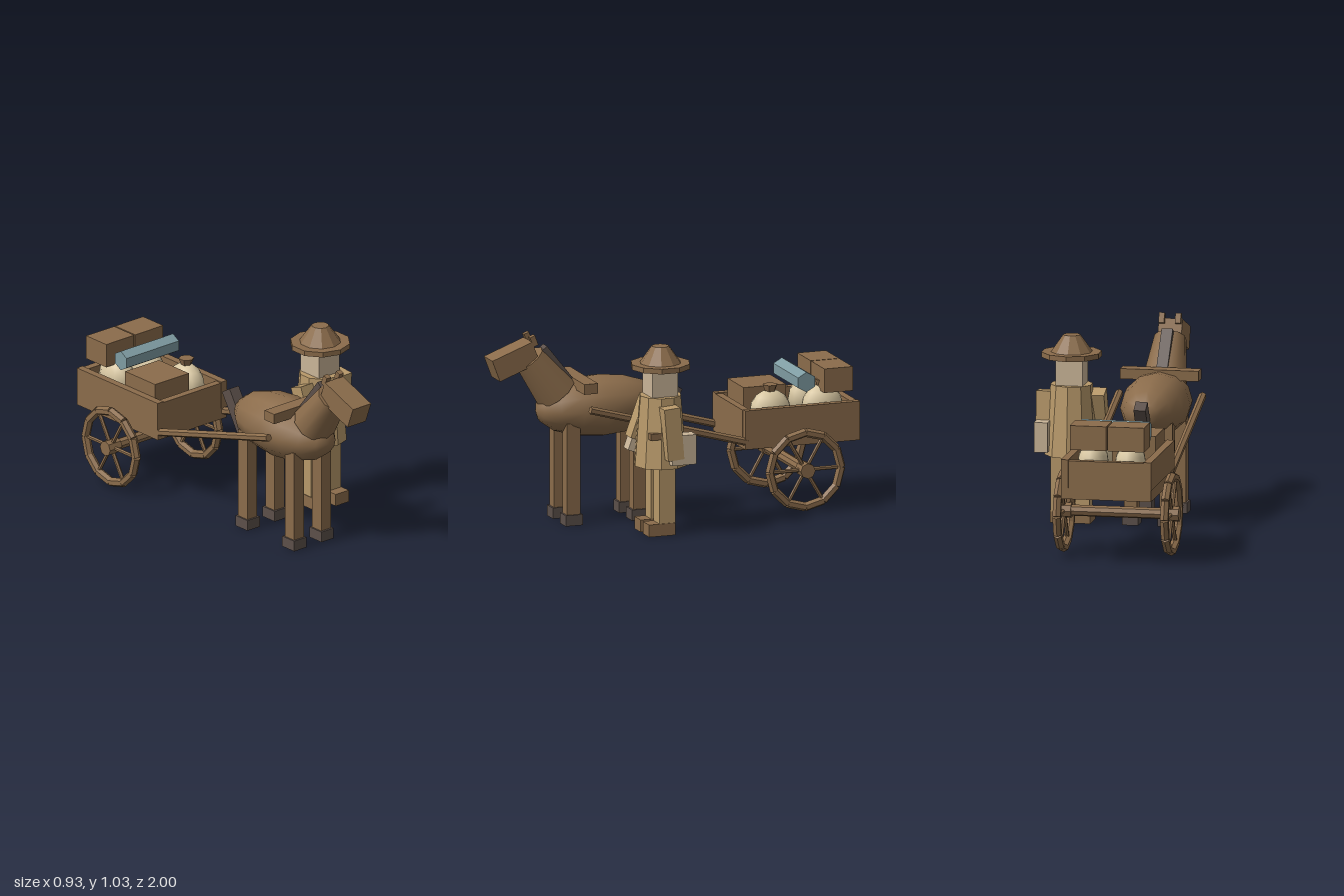
import * as THREE from 'three';

const mat = (name, color, flatShading = true) => {
  const m = new THREE.MeshStandardMaterial({ color, flatShading });
  m.name = name;
  return m;
};

export function createModel() {
  const root = new THREE.Group();
  root.name = 'horseCartAndFarmer';
  const wood = mat('brown', 0x8b6c4b);
  const hide = mat('hideBrown', 0x8b6c4b, false);
  const dark = mat('darkHair', 0x5c504a);
  const cloth = mat('tanCloth', 0xb8996a);
  const skin = mat('skin', 0xcab598);
  const burlap = mat('burlap', 0xd8c7a2, false);
  const blue = mat('blueRoll', 0x7f9ca2);

  const add = (parent, name, geo, material, pos, rot = [0, 0, 0]) => {
    const mesh = new THREE.Mesh(geo, material);
    mesh.name = name;
    mesh.position.set(...pos);
    mesh.rotation.set(...rot);
    parent.add(mesh);
    return mesh;
  };
  const box = (parent, name, material, size, pos, rx = 0) =>
    add(parent, name, new THREE.BoxGeometry(...size), material, pos, [rx, 0, 0]);
  // Box given by its min and max corners
  const span = (parent, name, material, a, b) =>
    box(parent, name, material, b.map((v, i) => v - a[i]), b.map((v, i) => (v + a[i]) / 2));
  const cyl = (parent, name, material, rTop, rBottom, h, sides, pos, rot) =>
    add(parent, name, new THREE.CylinderGeometry(rTop, rBottom, h, sides), material, pos, rot);
  const group = (name, x = 0, y = 0, z = 0) => {
    const g = new THREE.Group();
    g.name = name;
    g.position.set(x, y, z);
    root.add(g);
    return g;
  };
  const CX = -0.135; // centre line of horse and cart

  // Horse
  const horse = group('horse', CX);
  const bodyGeo = new THREE.SphereGeometry(1, 12, 8);
  bodyGeo.rotateX(Math.PI / 2).scale(0.182, 0.166, 0.352);
  add(horse, 'body', bodyGeo, hide, [0, 0.607, 0.383]);
  cyl(horse, 'neck', hide, 0.085, 0.117, 0.25, 10, [0, 0.793, 0.694], [0.65, 0, 0]);
  box(horse, 'mane', dark, [0.06, 0.28, 0.07], [0, 0.824, 0.62], 0.67);
  box(horse, 'head', wood, [0.127, 0.122, 0.24], [0, 0.893, 0.866], 0.36);
  box(horse, 'tail', dark, [0.064, 0.285, 0.07], [0, 0.557, 0.023], -0.55);
  box(horse, 'yoke', wood, [0.42, 0.055, 0.078], [0, 0.748, 0.5]);
  for (const s of [-1, 1]) {
    box(horse, 'ear', wood, [0.03, 0.055, 0.03], [s * 0.044, 0.995, 0.763], 0.36);
    for (const z of [0.195, 0.568]) {
      span(horse, 'leg', wood, [s * 0.095 - 0.034, 0.05, z - 0.037], [s * 0.095 + 0.034, 0.55, z + 0.037]);
      span(horse, 'hoof', dark, [s * 0.095 - 0.043, 0, z - 0.048], [s * 0.095 + 0.043, 0.058, z + 0.048]);
    }
  }

  // Cart bed
  const cart = group('cart', CX);
  span(cart, 'floor', wood, [-0.24, 0.355, -1], [0.24, 0.415, -0.355]);
  span(cart, 'frontWall', wood, [-0.2, 0.415, -0.395], [0.2, 0.56, -0.355]);
  span(cart, 'backWall', wood, [-0.2, 0.415, -1], [0.2, 0.56, -0.96]);
  for (const s of [-1, 1]) {
    box(cart, 'sideWall', wood, [0.04, 0.15, 0.645], [s * 0.222, 0.49, -0.6775]);
    // Pulling shaft beside the horse
    const dz = 0.88, dy = 0.245;
    cyl(cart, 'shaft', wood, 0.021, 0.021, Math.hypot(dz, dy), 6,
      [s * 0.223, 0.515, 0.07], [Math.atan2(dz, dy), 0, 0]);
  }

  // Axle and wheels
  const WY = 0.2325, WZ = -0.674;
  cyl(cart, 'axle', wood, 0.03, 0.03, 0.6, 8, [0, WY, WZ], [0, 0, Math.PI / 2]);
  for (const s of [-1, 1]) {
    const wheel = new THREE.Group();
    wheel.name = 'wheel';
    wheel.position.set(s * 0.288, WY, WZ);
    cart.add(wheel);
    cyl(wheel, 'hub', wood, 0.041, 0.041, 0.085, 8, [0, 0, 0], [0, 0, Math.PI / 2]);
    for (let i = 0; i < 12; i++) {
      const a = ((i + 0.5) * Math.PI) / 6;
      cyl(wheel, 'rimSegment', wood, 0.024, 0.024, 0.103, 6,
        [0, Math.sin(a) * 0.194, Math.cos(a) * 0.194], [-a, 0, 0]);
    }
    for (let i = 0; i < 6; i++) {
      const a = (i * Math.PI) / 3;
      cyl(wheel, 'spoke', wood, 0.011, 0.011, 0.19, 6,
        [0, Math.sin(a) * 0.1, Math.cos(a) * 0.1], [Math.PI / 2 - a, 0, 0]);
    }
  }

  // Cargo
  const cargo = group('cargo');
  for (const [x, z] of [[-0.015, -0.54], [-0.235, -0.84], [-0.035, -0.84]]) {
    const sackGeo = new THREE.SphereGeometry(1, 12, 8);
    sackGeo.scale(0.082, 0.112, 0.115);
    add(cargo, 'sack', sackGeo, burlap, [x, 0.527, z]);
    cyl(cargo, 'sackKnot', wood, 0.042, 0.026, 0.04, 6, [x, 0.648, z]);
  }
  span(cargo, 'crate', wood, [-0.335, 0.415, -0.662], [-0.1, 0.64, -0.423]);
  for (const x of [-0.236, -0.034])
    box(cargo, 'rearCrate', wood, [0.195, 0.13, 0.16], [x, 0.679, -0.895]);
  cyl(cargo, 'blanketRoll', blue, 0.054, 0.054, 0.365, 6, [-0.133, 0.677, -0.72], [0, 0, Math.PI / 2])
    .geometry.rotateY(Math.PI / 2);

  // Farmer
  const farmer = group('farmer', 0.281, 0, 0.19);
  cyl(farmer, 'coat', cloth, 0.112, 0.143, 0.377, 10, [0, 0.5515, 0]);
  box(farmer, 'head', skin, [0.145, 0.15, 0.145], [0, 0.812, 0]);
  cyl(farmer, 'hatBrim', wood, 0.16, 0.16, 0.028, 10, [0, 0.898, 0]);
  cyl(farmer, 'hatCrown', wood, 0.046, 0.112, 0.092, 10, [0, 0.956, 0]);
  for (const s of [-1, 1]) {
    span(farmer, 'leg', cloth, [s * 0.062 - 0.042, 0.06, -0.045], [s * 0.062 + 0.042, 0.4, 0.045]);
    span(farmer, 'boot', wood, [s * 0.062 - 0.046, 0, -0.045], [s * 0.062 + 0.046, 0.066, 0.105]);
  }
  box(farmer, 'rightSleeve', cloth, [0.085, 0.235, 0.085], [-0.136, 0.59, 0.05], -0.35);
  box(farmer, 'rightHand', skin, [0.07, 0.065, 0.065], [-0.138, 0.447, 0.1], -0.35);
  box(farmer, 'leftSleeve', cloth, [0.085, 0.28, 0.09], [0.139, 0.56, -0.01], 0.08);
  span(farmer, 'satchel', skin, [0.104, 0.39, -0.135], [0.176, 0.55, 0]);
  span(farmer, 'beltPouch', wood, [0.085, 0.523, 0.03], [0.122, 0.558, 0.1]);

  return root;
}
